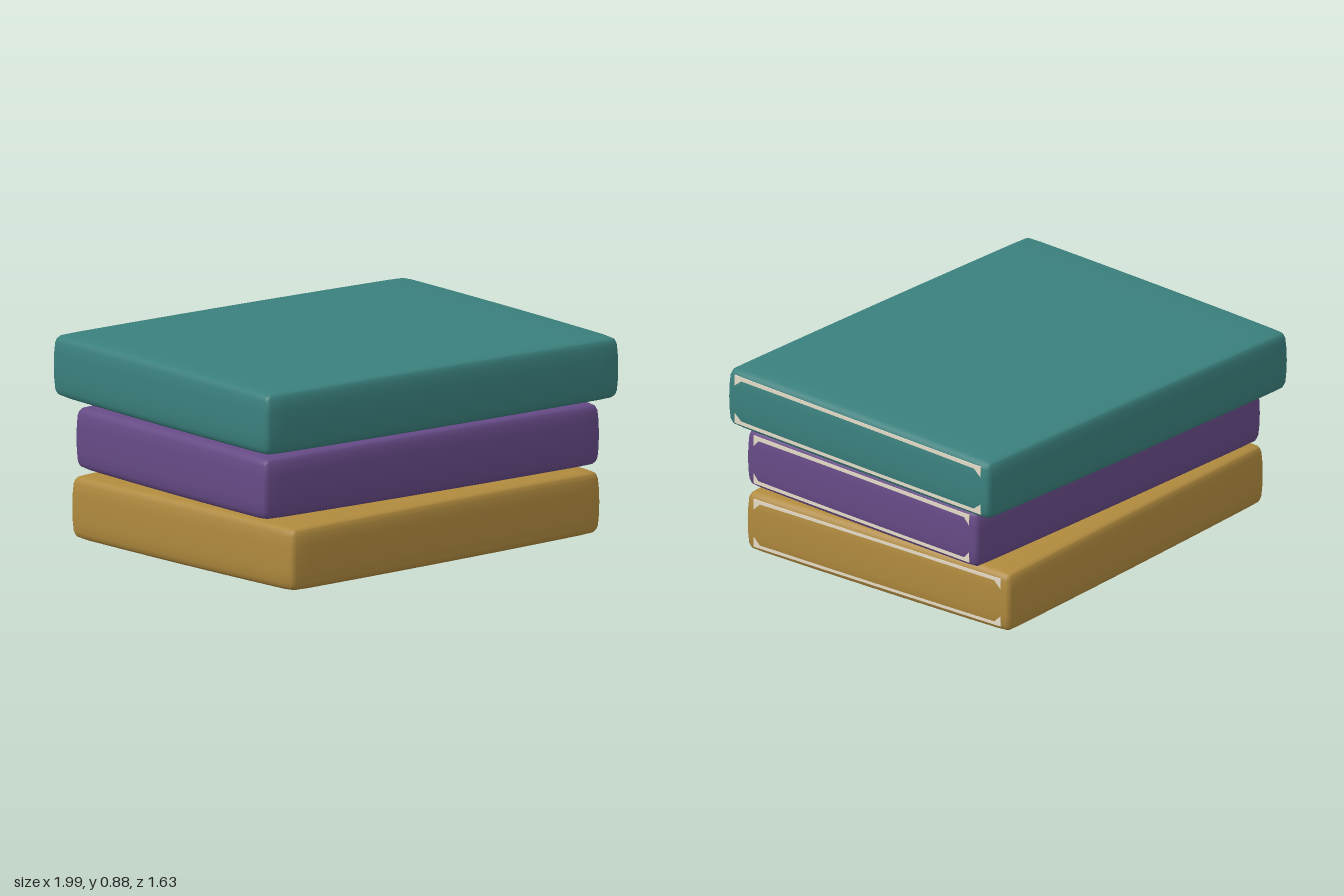
import * as THREE from 'three';
import { mergeVertices } from 'three/addons/utils/BufferGeometryUtils.js';

// Soft box: rounded edges and slightly pillowed faces, smooth normals throughout.
function softBox(w, h, d, radius, bulge) {
  const geo = new THREE.BoxGeometry(2, 2, 2, 12, 8, 12);
  const pos = geo.attributes.position;
  const half = new THREE.Vector3(w / 2, h / 2, d / 2);
  const limit = half.clone().subScalar(radius);
  const p = new THREE.Vector3();
  const core = new THREE.Vector3();
  // gathers the grid lines towards the edges
  const ease = (u) => Math.sign(u) * (1 - (1 - Math.abs(u)) ** 2);
  for (let i = 0; i < pos.count; i++) {
    p.fromBufferAttribute(pos, i);
    p.set(ease(p.x), ease(p.y), ease(p.z)).multiply(half);
    core.copy(p).clamp(limit.clone().negate(), limit);
    p.sub(core).setLength(radius).add(core);
    const u = p.x / half.x, v = p.y / half.y, t = p.z / half.z;
    p.x -= bulge * u * v * v;
    p.z -= bulge * t * v * v;
    p.y -= bulge * 0.5 * v * (u * u + t * t);
    pos.setXYZ(i, p.x, p.y, p.z);
  }
  geo.deleteAttribute('normal');
  geo.deleteAttribute('uv');
  const merged = mergeVertices(geo, 1e-5);
  merged.computeVertexNormals();
  return merged;
}

function material(name, color) {
  const m = new THREE.MeshStandardMaterial({ color });
  m.name = name;
  return m;
}

export function createModel() {
  const model = new THREE.Group();
  model.name = 'bookStack';
  const paper = material('paper', 0xe6dcc8);

  const books = [
    { name: 'bottomBook', mat: material('ochre', 0xb08a3e), w: 1.785, h: 0.295, d: 1.455, x: -0.048, y: 0.1475, z: 0.055, yaw: 0.02 },
    { name: 'middleBook', mat: material('purple', 0x664a86), w: 1.84, h: 0.29, d: 1.35, x: -0.033, y: 0.447, z: 0.05, yaw: -0.045 },
    { name: 'topBook', mat: material('teal', 0x3a807d), w: 1.925, h: 0.29, d: 1.535, x: 0, y: 0.74, z: 0, yaw: -0.052 },
  ];

  for (const b of books) {
    const book = new THREE.Group();
    book.name = b.name;
    book.position.set(b.x, b.y, b.z);
    book.rotation.y = b.yaw;

    const cover = new THREE.Mesh(softBox(b.w, b.h, b.d, 0.04, 0.008), b.mat);
    cover.name = 'cover';

    // page block whose long edges peek out of the cover on the left side
    const reach = b.w / 2 - 0.004;
    const pages = new THREE.Mesh(new THREE.BoxGeometry(reach, 0.224, b.d - 0.1), paper);
    pages.name = 'pages';
    pages.position.x = reach / 2;

    book.add(cover, pages);
    model.add(book);
  }
  return model;
}
